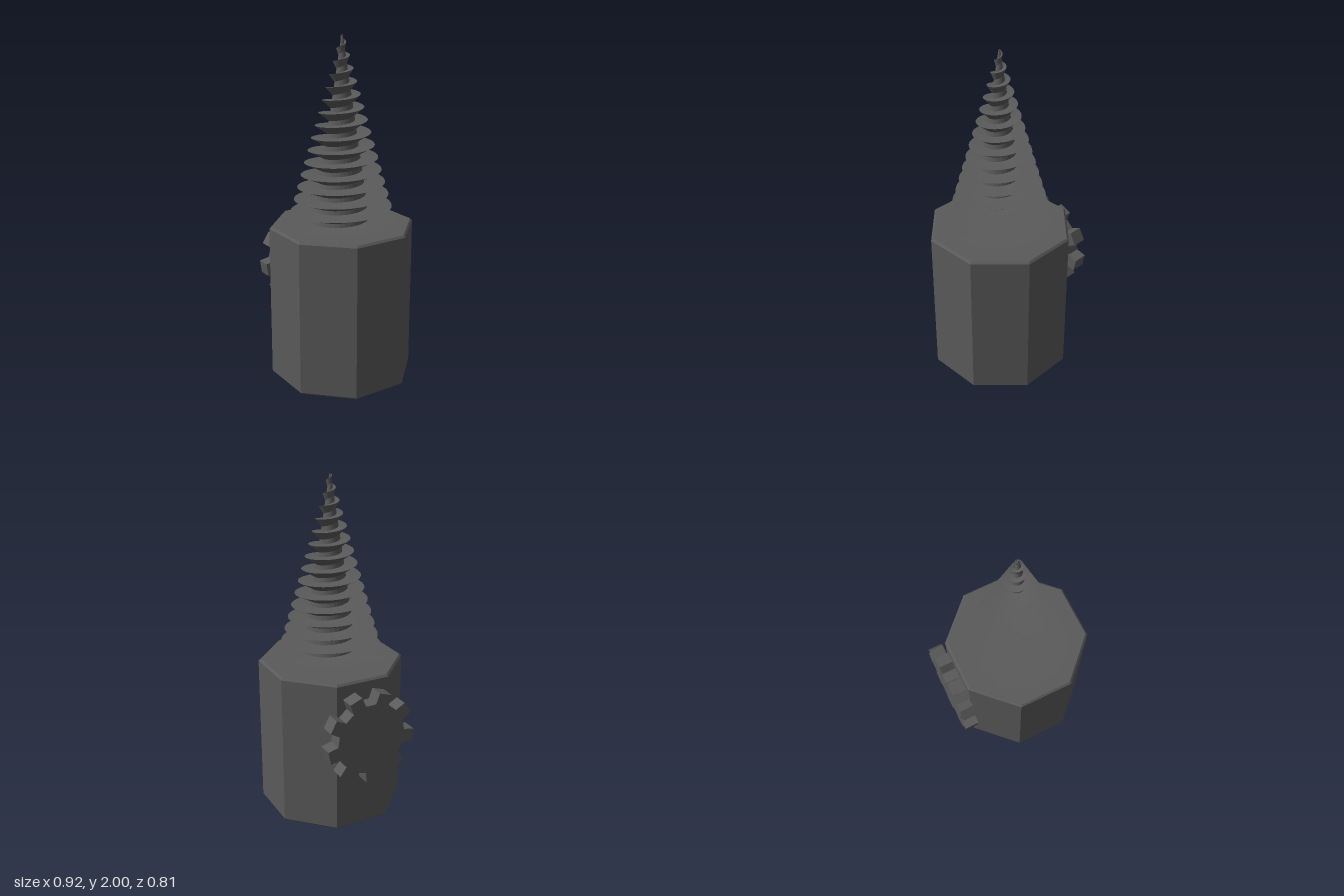
import * as THREE from 'three';

const AXIS_X = 0.048;
const BASE_Y = 0.924, TIP_Y = 2, PITCH = 0.0715;

// Octagonal hollow cup, chamfered at the rims, closed at the top
function bodyGeometry() {
  const profile = [
    [0, 0.905], [0.404, 0.905], [0.404, 0], [0.412, 0],
    [0.424, 0.012], [0.424, 0.913], [0.412, 0.925], [0, 0.925],
  ].map(([r, y]) => new THREE.Vector2(r, y));
  return new THREE.LatheGeometry(profile, 8, THREE.MathUtils.degToRad(106.4));
}

// Tapered helical blade: flat top, sharp rim, underside sloping down to the core
function threadGeometry() {
  const perTurn = 48;
  const steps = Math.round(((TIP_Y - BASE_Y) / PITCH) * perTurn);
  const start = THREE.MathUtils.degToRad(149);
  const pos = [], index = [];
  for (let i = 0; i <= steps; i++) {
    const turn = i / perTurn;
    const a = start - turn * Math.PI * 2;
    const y = BASE_Y + turn * PITCH;
    const r = 0.012 + 0.3 * (TIP_Y - y) / 1.05;
    const inner = r * 0.52;
    const low = Math.max(0.92, y - 0.05);
    for (const [rad, h] of [[r, y], [inner, y], [inner, low]]) {
      pos.push(Math.cos(a) * rad, h, Math.sin(a) * rad);
    }
    if (i < steps) {
      const k = i * 3;
      for (const [p, q] of [[0, 1], [2, 0]]) {
        index.push(k + p, k + 3 + p, k + q, k + q, k + 3 + p, k + 3 + q);
      }
    }
  }
  const geo = new THREE.BufferGeometry();
  geo.setAttribute('position', new THREE.Float32BufferAttribute(pos, 3));
  geo.setIndex(index);
  geo.computeVertexNormals();
  return geo;
}

// Nine-toothed gear with slightly tapered teeth
function gearGeometry() {
  const teeth = 9, root = 0.212, tip = 0.275;
  const points = [];
  for (let i = 0; i < teeth; i++) {
    const a = THREE.MathUtils.degToRad(-88 + i * 40);
    for (const [r, d] of [[root, -0.2], [tip, -0.145], [tip, 0.145], [root, 0.2]]) {
      points.push(new THREE.Vector2(Math.cos(a + d) * r, Math.sin(a + d) * r));
    }
  }
  return new THREE.ExtrudeGeometry(new THREE.Shape(points), { depth: 0.085, bevelEnabled: false });
}

export function createModel() {
  const model = new THREE.Group();
  model.name = 'drillAttachment';

  const metal = new THREE.MeshStandardMaterial({ color: 0x5a5a5a });
  metal.name = 'darkMetal';
  metal.flatShading = true;
  metal.side = THREE.DoubleSide;

  const add = (name, geometry, x, y, z) => {
    const mesh = new THREE.Mesh(geometry, metal);
    mesh.name = name;
    mesh.position.set(x, y, z);
    model.add(mesh);
    return mesh;
  };

  add('body', bodyGeometry(), AXIS_X, 0, 0);

  // Screw: thin conical core wrapped by the thread
  const coreHeight = TIP_Y - 0.92;
  add('screwCore', new THREE.CylinderGeometry(0.004, 0.165, coreHeight, 32), AXIS_X, 0.92 + coreHeight / 2, 0);
  add('screwThread', threadGeometry(), AXIS_X, 0, 0);

  // Gear lies flat against the right-hand face of the body
  const gear = add('sideGear', gearGeometry(), -0.348, 0.597, -0.031);
  gear.rotation.y = -THREE.MathUtils.degToRad(96.1);

  return model;
}
